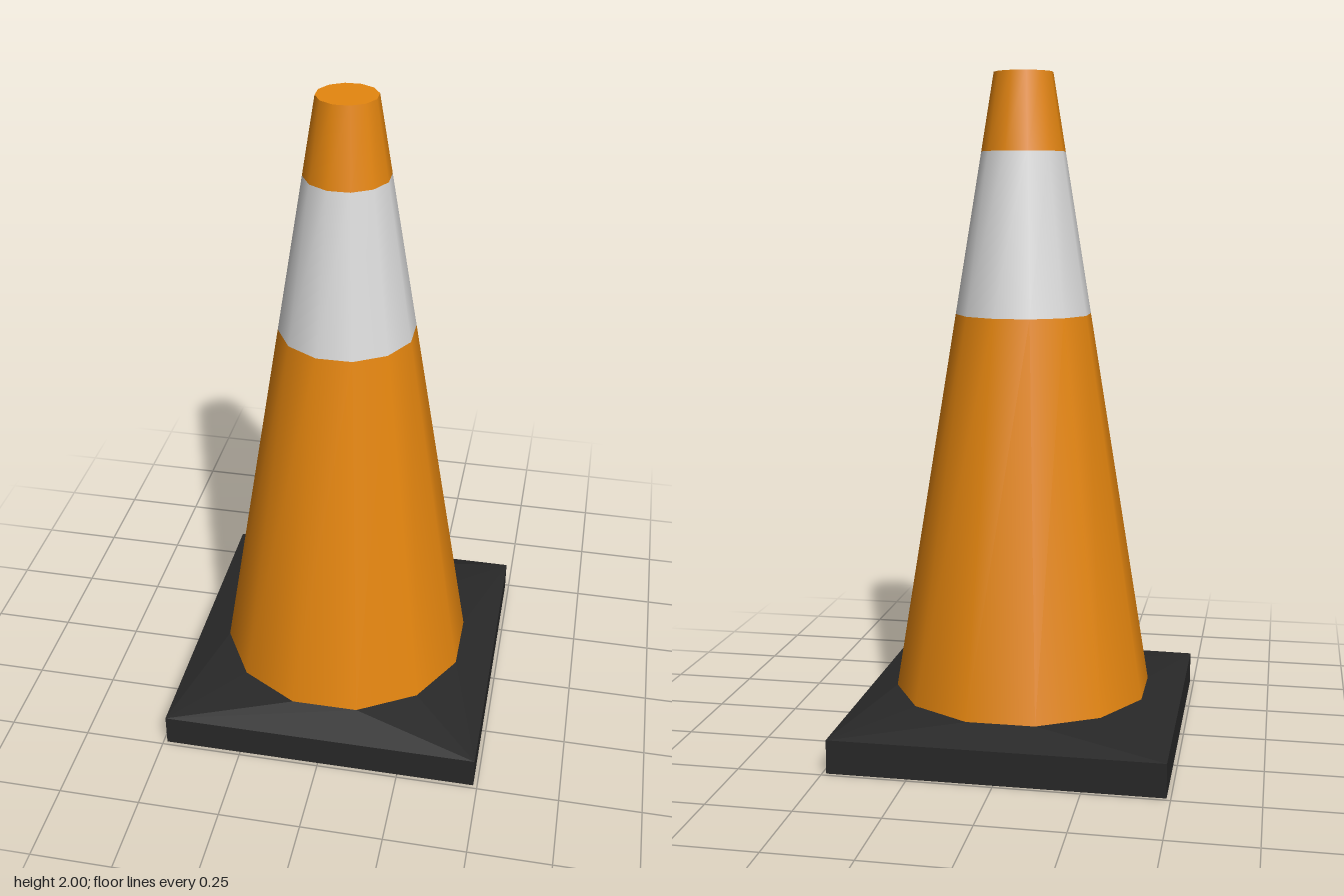
import * as THREE from 'three';

const SIDES = 12;
const START = Math.PI / SIDES; // flat sides face the axes
const BOTTOM = { y: 0.14, r: 0.392 };
const TOP = { y: 2, r: 0.088 };
const HALF = 0.488; // half width of the square foot
const FOOT_H = 0.1;

const radiusAt = (y) =>
  THREE.MathUtils.mapLinear(y, BOTTOM.y, TOP.y, BOTTOM.r, TOP.r);

// Four-sided foot bevel: each corner fans to three points of the cone's base ring
function bevelGeometry() {
  const inner = (k) => {
    const a = START + (k * Math.PI * 2) / SIDES;
    return [Math.sin(a) * BOTTOM.r, BOTTOM.y, Math.cos(a) * BOTTOM.r];
  };
  const outer = (k) => {
    const a = Math.PI / 4 + (Math.floor((k % SIDES) / 3) * Math.PI) / 2;
    return [Math.sign(Math.sin(a)) * HALF, FOOT_H, Math.sign(Math.cos(a)) * HALF];
  };
  const points = [];
  for (let k = 0; k < SIDES; k++) {
    points.push(...outer(k), ...inner(k + 1), ...inner(k));
    if (k % 3 === 2) points.push(...outer(k), ...outer(k + 1), ...inner(k + 1));
  }
  const geometry = new THREE.BufferGeometry();
  geometry.setAttribute('position', new THREE.Float32BufferAttribute(points, 3));
  geometry.computeVertexNormals();
  return geometry;
}

export function createModel() {
  const orange = new THREE.MeshStandardMaterial({ color: 0xe5860f });
  orange.name = 'orange';
  const white = new THREE.MeshStandardMaterial({ color: 0xdcdcdc });
  white.name = 'white';
  const black = new THREE.MeshStandardMaterial({ color: 0x282828 });
  black.name = 'black';

  const model = new THREE.Group();
  model.name = 'trafficCone';
  const add = (name, geometry, material) => {
    const mesh = new THREE.Mesh(geometry, material);
    mesh.name = name;
    model.add(mesh);
    return mesh;
  };

  // Square foot and its sloped top
  add('foot', new THREE.BoxGeometry(HALF * 2, FOOT_H, HALF * 2), black).position.y = FOOT_H / 2;
  add('footBevel', bevelGeometry(), black);

  // Cone body in three bands along one straight taper
  const bands = [
    ['lowerCone', BOTTOM.y, 1.29, orange],
    ['reflectiveBand', 1.29, 1.77, white],
    ['upperCone', 1.77, TOP.y, orange],
  ];
  for (const [name, y0, y1, material] of bands) {
    const geometry = new THREE.CylinderGeometry(
      radiusAt(y1), radiusAt(y0), y1 - y0, SIDES, 1, true, START);
    add(name, geometry, material).position.y = (y0 + y1) / 2;
  }

  // Closed tip
  const cap = new THREE.CircleGeometry(TOP.r, SIDES, START).rotateX(-Math.PI / 2);
  add('tipCap', cap, orange).position.y = TOP.y;

  return model;
}
